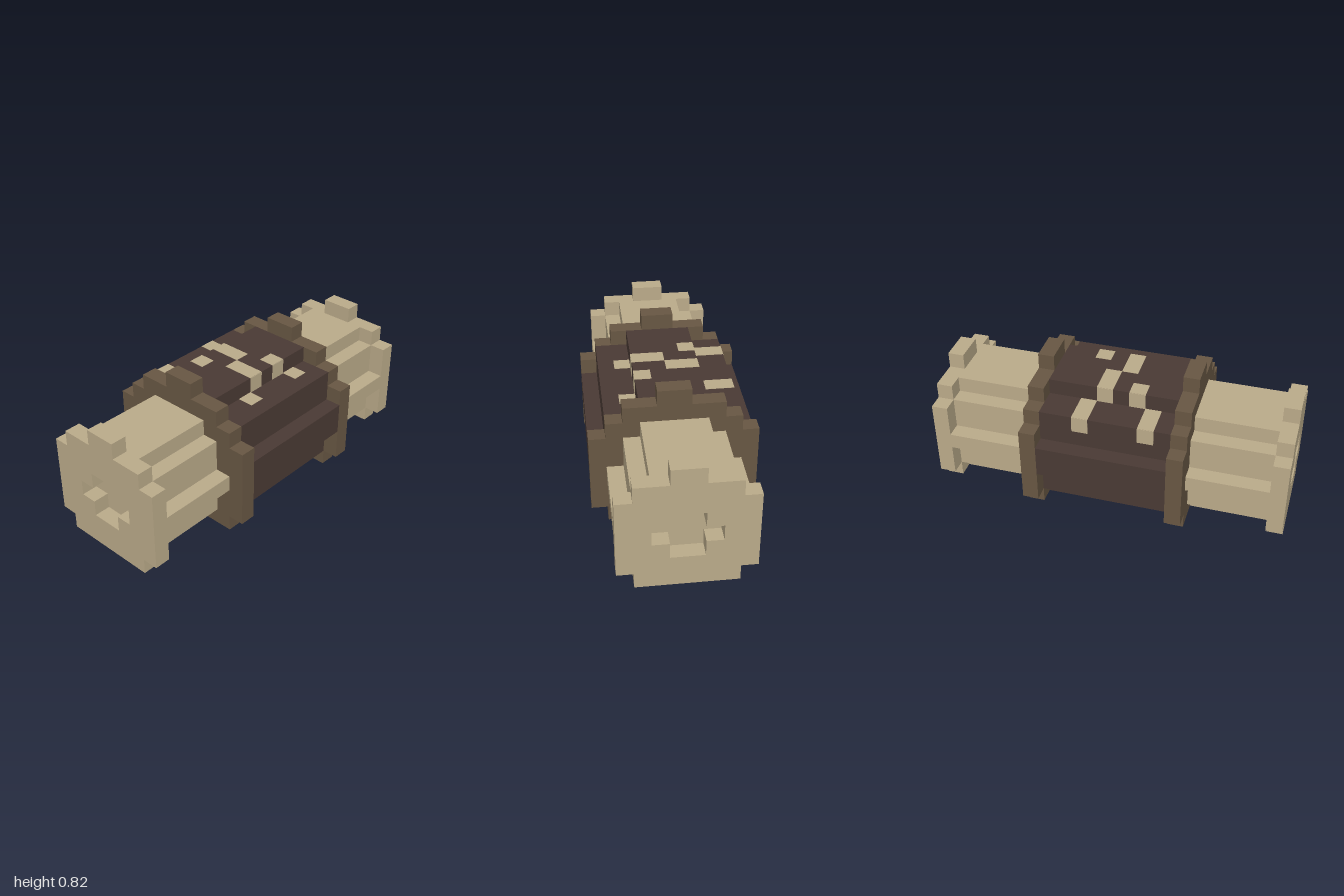
import * as THREE from 'three';

const U = 1 / 11; // one block

const mats = {
  tan: new THREE.MeshStandardMaterial({ color: 0xbbab8a }),
  brown: new THREE.MeshStandardMaterial({ color: 0x685743 }),
  dark: new THREE.MeshStandardMaterial({ color: 0x4a3a34 }),
};
mats.tan.name = 'paleTan';
mats.brown.name = 'midBrown';
mats.dark.name = 'darkBrown';

// Mirrored stepped outline from rows of [half width, bottom, top], in blocks
function outline(rows, PathClass = THREE.Shape) {
  const half = [];
  for (const [w, y0, y1] of rows) half.push([w, y0], [w, y1]);
  const pts = [...half, ...half.slice().reverse().map(([w, y]) => [-w, y])];
  return new PathClass(pts.map(([x, y]) => new THREE.Vector2(x * U, y * U)));
}

// Extrude an outline along x between two block positions
function section(name, shape, x0, x1, mat) {
  const geo = new THREE.ExtrudeGeometry(shape, { depth: (x1 - x0) * U, bevelEnabled: false });
  geo.rotateY(Math.PI / 2);
  geo.translate(x0 * U, 0, 0);
  const mesh = new THREE.Mesh(geo, mat);
  mesh.name = name;
  return mesh;
}

export function createModel() {
  const group = new THREE.Group();

  // Central body with a rib along the front and back
  const body = outline([[3, 0, 1], [4, 1, 3], [5, 3, 5], [4, 5, 7], [2, 7, 8]]);
  group.add(section('body', body, -4, 4, mats.dark));

  const ring = outline([[4, 0, 1], [5, 1, 6], [4, 6, 7], [3, 7, 8], [1, 8, 9]]);
  const shaft = outline([[2, 0, 1], [3, 1, 3], [4, 3, 4], [3, 4, 6], [2, 6, 7]]);
  const cap = outline([[3, 0, 1], [4, 1, 6], [3, 6, 7], [1, 7, 8]]);
  // Cross-shaped recess in each end
  cap.holes.push(outline([[1, 2, 3], [2, 3, 4], [1, 4, 5]], THREE.Path));

  for (const [side, s] of [['left', 1], ['right', -1]]) {
    const add = (part, shape, a, b, mat) =>
      group.add(section(side + part, shape, Math.min(s * a, s * b), Math.max(s * a, s * b), mat));
    add('Ring', ring, 4, 5, mats.brown);
    add('Shaft', shaft, 5, 10, mats.tan);
    add('EndCap', cap, 10, 11, mats.tan);
  }

  // Inlaid pattern: [x, z0, z1, surface height, sides it folds down over]
  const T = 0.004;
  const plate = (x, y, z, w, h, d) => {
    const m = new THREE.Mesh(new THREE.BoxGeometry(w, h, d), mats.tan);
    m.position.set(x, y, z);
    m.name = 'patternPlate';
    group.add(m);
  };
  const pattern = [
    [-3, -4, -2, 7, -4],
    [1, -4, -2, 7, -4],
    [-2, -2, -1, 8, -2],
    [0, -2, 0, 8, -2],
    [-1, 0, 2, 8, 2],
    [1, 1, 2, 8, 2],
    [-2, 2, 3, 7, 0],
    [2, 2, 3, 7, 0],
  ];
  for (const [x, z0, z1, y, fold] of pattern) {
    const cx = (x + 0.5) * U;
    plate(cx, y * U, (z0 + z1) / 2 * U, U, T, (z1 - z0) * U);
    if (fold) plate(cx, (y - 0.5) * U, fold * U, U, U, T);
  }

  return group;
}
